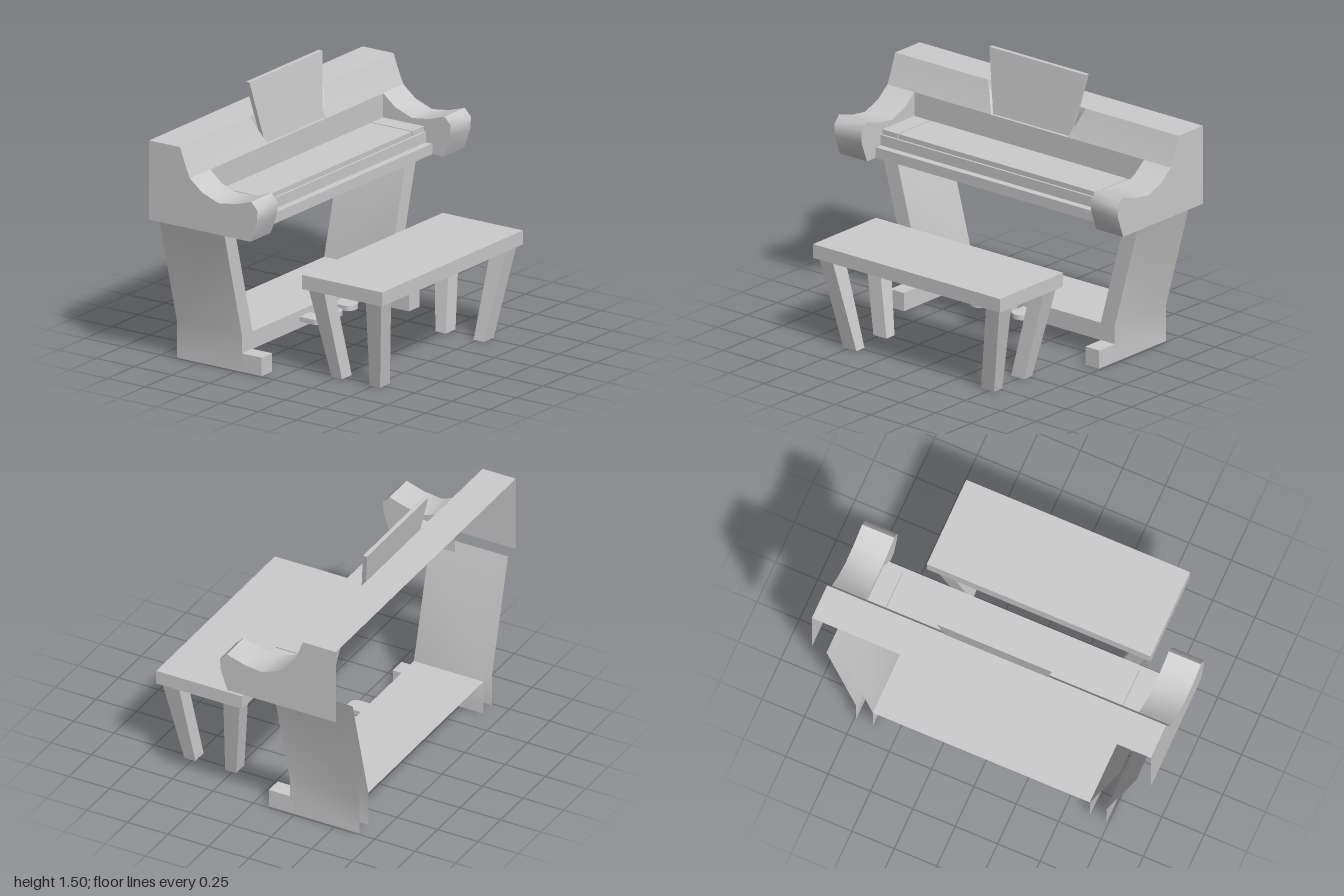
import * as THREE from 'three';
import { toCreasedNormals } from 'three/addons/utils/BufferGeometryUtils.js';

const material = new THREE.MeshStandardMaterial({ color: 0xcccccc, side: THREE.DoubleSide });

export function createModel() {
  const model = new THREE.Group();

  function add(name, geometry) {
    const mesh = new THREE.Mesh(geometry, material);
    mesh.name = name;
    model.add(mesh);
    return mesh;
  }

  // Surface through equally long rows of [x, y, z] points
  function sheet(name, rows) {
    const positions = [];
    for (let i = 0; i < rows.length - 1; i++) {
      for (let j = 0; j < rows[i].length - 1; j++) {
        const a = rows[i][j], b = rows[i][j + 1], c = rows[i + 1][j + 1], d = rows[i + 1][j];
        positions.push(...a, ...b, ...c, ...a, ...c, ...d);
      }
    }
    const geometry = new THREE.BufferGeometry();
    geometry.setAttribute('position', new THREE.Float32BufferAttribute(positions, 3));
    geometry.computeVertexNormals();
    return add(name, toCreasedNormals(geometry, 0.9));
  }

  // Sheet swept along x between x0 and x1 over a [z, y] profile
  const sweep = (name, profile, x0, x1) =>
    sheet(name, profile.map(([z, y]) => [[x0, y, z], [x1, y, z]]));

  // Flat upright panel at x with a [z, y] outline
  function panel(name, outline, x) {
    const shape = new THREE.Shape(outline.map(([z, y]) => new THREE.Vector2(z, y)));
    add(name, new THREE.ShapeGeometry(shape).rotateY(-Math.PI / 2)).position.x = x;
  }

  function box(name, x0, x1, y0, y1, z0, z1) {
    add(name, new THREE.BoxGeometry(x1 - x0, y1 - y0, z1 - z0))
      .position.set((x0 + x1) / 2, (y0 + y1) / 2, (z0 + z1) / 2);
  }

  // Four-sided tapered bar between rectangles [x0, x1, z0, z1] at two heights
  function taper(name, y0, r0, y1, r1, closed) {
    const ring = (y, [x0, x1, z0, z1]) =>
      [[x0, y, z0], [x0, y, z1], [x1, y, z1], [x1, y, z0], [x0, y, z0]];
    const cap = (y, r) => Array(5).fill([(r[0] + r[1]) / 2, y, (r[2] + r[3]) / 2]);
    const rows = [ring(y1, r1), ring(y0, r0)];
    if (closed) {
      rows.unshift(cap(y1, r1));
      rows.push(cap(y0, r0));
    }
    sheet(name, rows);
  }

  // Case: curved hood, open at the back and below
  const hood = [[-0.445, 1.305], [-0.41, 1.21], [-0.38, 1.14]];
  const cheek = [[-0.38, 1.14], [-0.30, 1.075], [-0.19, 1.035], [-0.08, 1.05],
    [0.025, 1.083], [0.067, 1.04], [0.062, 0.97], [0.02, 0.855]];
  sweep('caseTop', [[-0.65, 1.305], [-0.445, 1.305]], -1, 1);

  // Music stand leaning in a flared notch of the hood
  const standX = y => 0.27 + (y - 1.14) * 0.2;
  const standZ = y => -0.398 - (y - 1.14) * 0.149;
  const notchX = y => 0.27 + (y - 1.14) * 0.455;
  taper('musicStand', 1.14, [-0.27, 0.27, -0.424, -0.398],
    1.495, [-0.341, 0.341, -0.476, -0.451], true);
  sweep('standLedge', [[-0.38, 1.14], [-0.398, 1.14]], -0.27, 0.27);

  for (const s of [-1, 1]) {
    sheet('hood', hood.map(([z, y]) => [[s * notchX(y), y, z], [s, y, z]]));
    sheet('standNotchSide', hood.map(([z, y]) =>
      [[s * notchX(y), y, z], [s * standX(y), y, standZ(y) - 0.024]]));

    // Cheeks
    sweep('cheekTop', cheek, s * 0.81, s);
    panel('sidePanel', [[-0.65, 0.855], [-0.65, 1.305], ...hood, ...cheek.slice(1)], s);
    panel('cheekInnerPanel', [[-0.38, 0.855], ...cheek], s * 0.81);

    // Key blocks beside the closed lid
    box('keyBlock', s > 0 ? 0.703 : -0.81, s > 0 ? 0.81 : -0.703, 0.975, 1.003, -0.38, -0.11);

    // Slanted legs, open at the back
    const outer = [[0.913, 0.855], [0.738, 0.205], [0.738, 0]];
    const inner = [[0.815, 0.855], [0.64, 0.205], [0.64, 0]];
    for (const [name, line] of [['legOuterSide', outer], ['legInnerSide', inner]]) {
      sheet(name, line.map(([x, y]) => [[s * x, y, -0.22], [s * x, y, -0.65]]));
    }
    sheet('legFront', outer.map(([x, y], i) =>
      [[s * x, y, -0.22], [s * inner[i][0], y, -0.22]]));

    // Toe blocks
    sweep('toeBlock', [[-0.22, 0.105], [-0.09, 0.105], [-0.09, 0]], s * 0.64, s * 0.738);
    for (const x of [0.64, 0.738]) {
      panel('toeSide', [[-0.22, 0], [-0.09, 0], [-0.09, 0.105], [-0.22, 0.105]], s * x);
    }
  }

  // Fallboard, key bed and stepped key slip
  sweep('keyBed', [[-0.38, 1.14], [-0.38, 0.975], [-0.097, 0.975], [-0.097, 0.915],
    [-0.055, 0.915], [-0.055, 0.855]], -0.81, 0.81);
  box('keyLid', -0.695, 0.695, 0.975, 1.003, -0.38, -0.11);

  // Lower rail with pedals
  sweep('lowerRail', [[-0.65, 0.205], [-0.22, 0.205], [-0.22, 0.105]], -0.64, 0.64);
  for (const x of [-0.15, 0, 0.145]) {
    const shape = new THREE.Shape();
    shape.moveTo(-0.05, 0);
    shape.lineTo(0.05, 0);
    shape.lineTo(0.05, -0.09);
    shape.absellipse(0, -0.09, 0.05, 0.04, 0, Math.PI, true);
    shape.lineTo(-0.05, 0);
    const geometry = new THREE.ExtrudeGeometry(shape,
      { depth: 0.028, bevelEnabled: false, curveSegments: 10 });
    geometry.rotateX(-Math.PI / 2);
    add('pedal', geometry).position.set(x, 0.142, -0.22);
  }

  // Bench
  box('benchSeat', -0.66, 0.66, 0.515, 0.595, 0.12, 0.65);
  for (const sx of [-1, 1]) {
    for (const sz of [-1, 1]) {
      const rect = (x0, x1, d0, d1) =>
        [sx * x0, sx * x1, 0.387 + sz * d0, 0.387 + sz * d1];
      taper('benchLeg', 0, rect(0.44, 0.532, 0.092, 0.16),
        0.515, rect(0.542, 0.635, 0.138, 0.24), false);
    }
  }

  return model;
}
